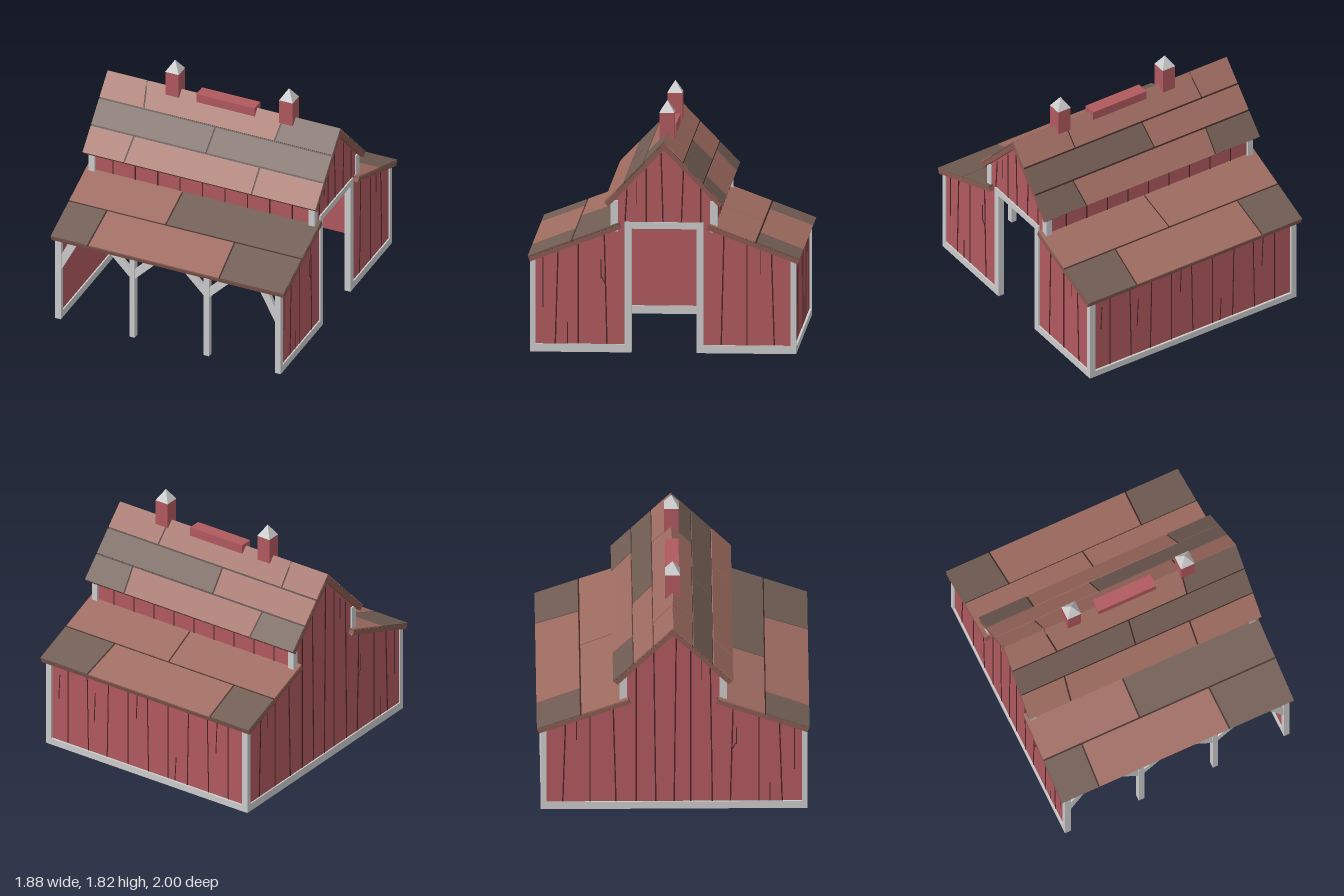
import * as THREE from 'three';

const mat = (color, extra = {}) => new THREE.MeshStandardMaterial({ color, flatShading: true, ...extra });
const RED = mat(0xb0595e), GREY = mat(0xcccccc), SEAM = mat(0x4a2628);
const LIGHT = mat(0x9e6b60), DARK = mat(0x705c53), EDGE = mat(0x8a5a50), GAP = mat(0x3a2622);

function add(parent, name, geometry, material, x = 0, y = 0, z = 0) {
  const m = new THREE.Mesh(geometry, material);
  m.name = name;
  m.position.set(x, y, z);
  parent.add(m);
  return m;
}

// Box given by its min and max on each axis
function box(parent, name, material, x0, x1, y0, y1, z0, z1) {
  return add(parent, name, new THREE.BoxGeometry(x1 - x0, y1 - y0, z1 - z0), material,
    (x0 + x1) / 2, (y0 + y1) / 2, (z0 + z1) / 2);
}

function prism(points, depth) {
  const shape = new THREE.Shape(points.map(p => new THREE.Vector2(p[0], p[1])));
  return new THREE.ExtrudeGeometry(shape, { depth, bevelEnabled: false });
}

// One roof slope: slab, dark gap layer and rows of boards split at [x at top, x at bottom]
function roofSlope(parent, name, front, y0, z0, y1, z1, rows) {
  const holder = new THREE.Group();
  holder.name = name;
  holder.rotation.y = front ? 0 : Math.PI;
  const slope = new THREE.Group();
  const length = Math.hypot(z1 - z0, y0 - y1);
  slope.position.set(0, y0, z0);
  slope.rotation.x = -Math.atan2(z1 - z0, y0 - y1);
  holder.add(slope);
  parent.add(holder);
  box(slope, 'roofSlab', EDGE, -0.94, 0.94, -length, 0, -0.045, -0.01);
  box(slope, 'boardGaps', GAP, -0.937, 0.937, -length + 0.003, 0, -0.01, -0.006);
  const s = front ? 1 : -1, g = 0.006;
  for (const { from, to, splits, tones } of rows) {
    const top = -from * length - (from ? g : 0), bottom = -to * length + (to < 1 ? g : 0);
    const cuts = [[-0.94 - g, -0.94 - g], ...splits, [0.94 + g, 0.94 + g]];
    [...tones].forEach((tone, i) => {
      const [a, b] = [cuts[i], cuts[i + 1]];
      const pts = [[a[0] + g, top], [a[1] + g, bottom], [b[1] - g, bottom], [b[0] - g, top]];
      add(slope, 'roofBoard', prism(pts.map(p => [p[0] * s, p[1]]), 0.01), tone === 'L' ? LIGHT : DARK, 0, 0, -0.008);
    });
  }
}

// Height of an end wall beneath the roof
const wallTop = z => Math.abs(z) < 0.35 ? 1.5 - Math.abs(z) * 1.03 : 0.91 - (Math.abs(z) - 0.36) * 0.38;

// Narrow dark joint between wall boards, standing proud of the face
function seam(parent, side, at, y0, y1, lean = 0, width = 0.01) {
  const group = new THREE.Group();
  group.name = 'boardJoint';
  const flat = add(group, 'joint', new THREE.BoxGeometry(width, y1 - y0, 0.006), SEAM);
  flat.rotation.z = Math.atan2(lean, y1 - y0);
  const mid = (y0 + y1) / 2;
  if (side === 'right' || side === 'left') {
    group.rotation.y = Math.PI / 2;
    group.position.set(side === 'right' ? 0.9 : -0.9, mid, at);
  } else {
    group.position.set(at, mid, { back: -0.955, upperFront: 0.375, upperBack: -0.375 }[side]);
  }
  parent.add(group);
}

function endWall(parent, side) {
  const right = side === 'right', s = right ? 1 : -1;
  const half = [[0.95, 0.01], [0.95, 0.69], [0.36, 0.92], [0.36, 1.14], [0, 1.515]];
  const pts = [...half, ...half.slice(0, 4).reverse().map(([z, y]) => [-z, y])];
  if (right) pts.push([-0.26, 0.01], [-0.26, 0.94], [0.26, 0.94], [0.26, 0.01]);
  const wall = add(parent, side + 'EndWall', prism(pts, 0.025), RED, right ? 0.9 : -0.875);
  wall.rotation.y = -Math.PI / 2;

  // Grey framing
  const x0 = s * 0.8875 - 0.0235, x1 = x0 + 0.047;
  const frame = (name, y0, y1, z0, z1) => box(parent, name, GREY, x0, x1, y0, y1, z0, z1);
  frame('frontCornerPost', 0, 0.7, 0.945, 0.985);
  frame('backCornerPost', 0, 0.7, -0.972, -0.93);
  for (const m of [1, -1]) frame('upperCornerPost', 0.9, 1.13, Math.min(m * 0.34, m * 0.395), Math.max(m * 0.34, m * 0.395));
  if (right) {
    frame('frontSill', 0, 0.06, 0.25, 0.96);
    frame('backSill', 0, 0.06, -0.95, -0.25);
    frame('frontDoorJamb', 0, 0.97, 0.24, 0.29);
    frame('backDoorJamb', 0, 0.97, -0.29, -0.24);
    frame('doorLintel', 0.92, 0.97, -0.285, 0.285);
  } else frame('sill', 0, 0.06, -0.95, 0.96);

  // Board joints and short cracks
  [0.79, 0.63, 0.43, -0.43, -0.61, -0.8].forEach((z, i) => seam(parent, side, z, 0.06, wallTop(z), (i % 3 - 1) * 0.02));
  [0.28, 0.13, 0.015, -0.135, -0.27].forEach((z, i) =>
    seam(parent, side, z, right ? 0.97 : 0.06, wallTop(z), (i % 3 - 1) * 0.015));
  seam(parent, side, 0.89, 0.33, 0.72, 0, 0.005);
  seam(parent, side, 0.71, 0.06, 0.22, 0, 0.006);
  seam(parent, side, 0.465, 0.55, 0.69, 0, 0.006);
  seam(parent, side, 0.445, 0.5, 0.56, 0.03, 0.006);
  seam(parent, side, -0.71, 0.59, 0.78, 0, 0.005);
  seam(parent, side, 0.205, 1.1, 1.27, 0, 0.005);
}

export function createModel() {
  const barn = new THREE.Group();
  barn.name = 'barn';

  // Walls
  endWall(barn, 'right');
  endWall(barn, 'left');
  box(barn, 'backWall', RED, -0.88, 0.88, 0.01, 0.7, -0.955, -0.93);
  box(barn, 'backSill', GREY, -0.88, 0.88, 0, 0.05, -0.972, -0.945);
  box(barn, 'upperFrontWall', RED, -0.88, 0.88, 0.9, 1.14, 0.35, 0.375);
  box(barn, 'upperBackWall', RED, -0.88, 0.88, 0.9, 1.14, -0.375, -0.35);
  for (let i = -4; i <= 4; i++) {
    seam(barn, 'upperFront', i * 0.181, 0.93, 1.1, 0, 0.008);
    seam(barn, 'upperBack', i * 0.181, 0.93, 1.1, 0, 0.008);
    seam(barn, 'back', i * 0.181, 0.05, 0.69, (Math.abs(i) % 3 - 1) * 0.012, 0.007);
  }
  [[-0.62, 0.4, 0.66], [-0.25, 0.05, 0.25], [0.1, 0.45, 0.68], [0.48, 0.3, 0.55], [0.8, 0.4, 0.6]]
    .forEach(([x, a, b]) => seam(barn, 'back', x, a, b, 0.01, 0.006));

  // Open front: posts and braces
  for (const x of [-0.29, 0.31]) {
    box(barn, 'frontPost', GREY, x - 0.022, x + 0.022, 0, 0.7, 0.94, 0.985);
    for (const s of [1, -1]) {
      const pts = [[0, 0.5], [0.02, 0.51], [0.2, 0.695], [0.12, 0.695], [0, 0.57]];
      add(barn, 'postBrace', prism(pts.map(p => [x + s * p[0], p[1]]), 0.03), GREY, 0, 0, 0.947);
    }
  }
  for (const s of [1, -1]) {
    const pts = [[0.88, 0.41], [0.865, 0.43], [0.73, 0.695], [0.8, 0.695], [0.88, 0.53]];
    add(barn, 'cornerBrace', prism(pts.map(p => [s * p[0], p[1]]), 0.03), GREY, 0, 0, 0.947);
  }

  // Roofs
  const row = (from, to, tones, ...splits) => ({ from, to, tones, splits });
  const a = 1 / 3, b = 2 / 3, c = 0.52;
  roofSlope(barn, 'upperFrontRoof', true, 1.575, 0, 1.12, 0.44, [
    row(0, a, 'LLD', [-0.62, -0.58], [0.49, 0.475]),
    row(a, b, 'DD', [0, -0.01]),
    row(b, 1, 'LLL', [-0.59, -0.605], [0.425, 0.425])]);
  roofSlope(barn, 'upperBackRoof', false, 1.575, 0, 1.12, 0.44, [
    row(0, a, 'LLL', [-0.61, -0.625], [0.49, 0.49]),
    row(a, b, 'LD', [-0.095, -0.11]),
    row(b, 1, 'DLD', [-0.56, -0.55], [0.61, 0.585])]);
  roofSlope(barn, 'frontLeanToRoof', true, 0.965, 0.33, 0.715, 1, [
    row(0, c, 'LD', [-0.16, -0.16]),
    row(c, 1, 'DLD', [-0.632, -0.64], [0.4, 0.42])]);
  roofSlope(barn, 'backLeanToRoof', false, 0.965, 0.33, 0.715, 1, [
    row(0, c, 'LL', [0.04, 0.015]),
    row(c, 1, 'DLD', [-0.58, -0.59], [0.495, 0.515])]);

  // Ridge vent and the two capped turrets
  box(barn, 'ridgeVent', RED, -0.2, 0.27, 1.53, 1.6, -0.05, 0.05);
  for (const x of [-0.395, 0.525]) {
    box(barn, 'turret', RED, x - 0.054, x + 0.054, 1.53, 1.73, -0.054, 0.054);
    const cap = add(barn, 'turretCap', new THREE.ConeGeometry(0.055 * Math.SQRT2, 0.088, 4), GREY, x, 1.773, 0);
    cap.rotation.y = Math.PI / 4;
  }
  return barn;
}
